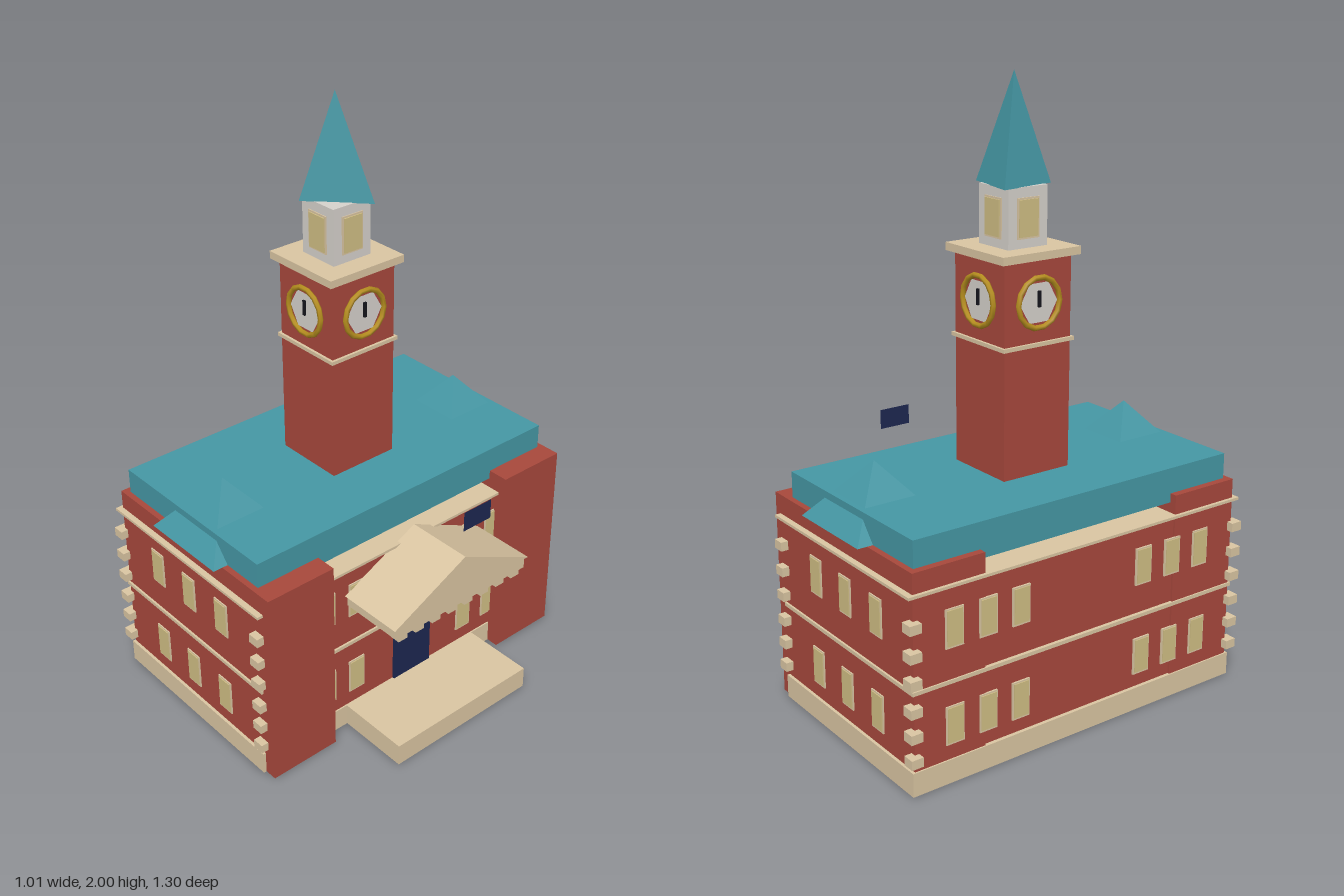
import * as THREE from 'three';
import { ConvexGeometry } from 'three/addons/geometries/ConvexGeometry.js';

function mat(name, color) {
  const m = new THREE.MeshStandardMaterial({ color, flatShading: false });
  m.name = name;
  return m;
}

export function createModel() {
  const root = new THREE.Group();
  root.name = 'clockTowerHall';
  const brick = mat('brick red', 0xa8483c);
  const teal = mat('roof teal', 0x4597a4);
  const stone = mat('stone beige', 0xdac5a2);
  const pane = mat('window cream', 0xd0be84);
  const white = mat('lantern white', 0xd6d2cc);
  const navy = mat('navy', 0x1d2750);
  const gold = mat('gold', 0xb8901f);
  const black = mat('clock hand black', 0x15151c);
  navy.side = THREE.DoubleSide;

  const add = (name, geo, m, parent = root) => {
    const mesh = new THREE.Mesh(geo, m);
    mesh.name = name;
    parent.add(mesh);
    return mesh;
  };
  // Box given by its extents
  const box = (name, m, x0, x1, y0, y1, z0, z1, parent) => {
    const mesh = add(name, new THREE.BoxGeometry(x1 - x0, y1 - y0, z1 - z0), m, parent);
    mesh.position.set((x0 + x1) / 2, (y0 + y1) / 2, (z0 + z1) / 2);
    return mesh;
  };
  const hull = (name, m, pts) =>
    add(name, new ConvexGeometry(pts.map(p => new THREE.Vector3(...p))).toNonIndexed(), m);

  // Main block, plinth and horizontal bands
  box('mainBlock', brick, -0.475, 0.245, 0.01, 0.63, -0.612, 0.612);
  box('plinth', stone, -0.487, 0.25, 0.003, 0.08, -0.63, 0.63);
  box('beltCourse', stone, -0.487, 0.252, 0.325, 0.337, -0.627, 0.627);
  box('cornice', stone, -0.493, 0.265, 0.627, 0.636, -0.64, 0.64);
  const under = new THREE.Shape([[-0.485, -0.63], [0.25, 0.63], [-0.485, 0.63]].map(p => new THREE.Vector2(...p)));
  add('underside', new THREE.ShapeGeometry(under), brick).rotation.x = Math.PI / 2;

  // End wings and their pyramid roofs
  for (const s of [1, -1]) {
    const wing = box('endWing', brick, -0.482, 0.293, 0.004, 0.7, -0.125, 0.125);
    wing.position.z = s * 0.495;
    const pz = s * 0.492;
    const pts = [[-0.09, 0.89, pz]];
    for (const a of [-0.16, 0.16]) for (const b of [-0.16, 0.16]) pts.push([-0.09 + a, 0.7, pz + b]);
    hull('pyramidRoof', teal, pts);
  }
  box('mainRoof', teal, -0.458, 0.22, 0.67, 0.785, -0.6, 0.6);

  // Corner quoins
  for (const x of [-0.485, 0.245]) for (const z of [-0.625, 0.625])
    for (const y of [0.12, 0.2, 0.28, 0.367, 0.452, 0.54])
      box('quoin', stone, x - 0.02, x + 0.02, y - 0.015, y + 0.015, z - 0.02, z + 0.02);

  // Windows: thin frame and pane, placed on a wall facing the given angle
  const addWindow = (x, y, z, angle, w = 0.054, h = 0.112) => {
    const g = new THREE.Group();
    g.name = 'window';
    box('windowFrame', stone, -w / 2 - 0.005, w / 2 + 0.005, -h / 2 - 0.007, h / 2 + 0.005, -0.002, 0.004, g);
    box('windowPane', pane, -w / 2, w / 2, -h / 2, h / 2, 0, 0.007, g);
    g.position.set(x, y, z);
    g.rotation.y = angle;
    root.add(g);
  };
  for (const y of [0.192, 0.5]) {
    for (const x of [-0.29, -0.12, 0.05]) {
      addWindow(x, y, 0.62, 0);
      addWindow(x, y, -0.62, Math.PI);
    }
    for (const s of [1, -1]) for (const z of [0.24, 0.36, 0.48]) {
      addWindow(-0.482, y, s * z, -Math.PI / 2);
      if (z < 0.4) addWindow(0.245, y, s * z, Math.PI / 2);
    }
  }

  // Entrance: door, steps, pediment with dentils, flag
  box('door', navy, 0.245, 0.253, 0.08, 0.305, -0.08, 0.08);
  box('entranceStep', stone, 0.25, 0.503, 0.004, 0.08, -0.285, 0.285);
  const ped = [];
  for (const x of [0.25, 0.482]) ped.push([x, 0.67, 0], [x, 0.53, 0.29], [x, 0.53, -0.29]);
  hull('pediment', stone, ped);
  box('porchSlab', stone, 0.25, 0.475, 0.49, 0.53, -0.28, 0.28);
  for (let i = 0; i < 8; i++) {
    const z = -0.245 + i * 0.07;
    box('dentil', stone, 0.435, 0.47, 0.468, 0.49, z - 0.018, z + 0.018);
  }
  const flag = add('flag', new THREE.PlaneGeometry(0.115, 0.068), navy);
  flag.position.set(0.47, 0.792, -0.057);
  flag.rotation.y = Math.PI / 2;

  // Clock tower
  const cx = -0.12;
  const centred = (name, m, r, y0, y1) => box(name, m, cx - r, cx + r, y0, y1, -r, r);
  centred('towerShaft', brick, 0.125, 0.63, 1.46);
  centred('towerBand', stone, 0.134, 1.193, 1.205);
  centred('towerCornice', stone, 0.146, 1.46, 1.485);
  centred('lantern', white, 0.073, 1.485, 1.668);
  for (let i = 0; i < 4; i++) {
    const side = new THREE.Group();
    side.name = 'towerSide';
    side.position.x = cx;
    side.rotation.y = i * Math.PI / 2;
    root.add(side);
    const ring = add('clockRing', new THREE.TorusGeometry(0.078, 0.009, 6, 14), gold, side);
    ring.position.set(0, 1.328, 0.131);
    const face = add('clockFace', new THREE.CircleGeometry(0.07, 6), white, side);
    face.position.set(0, 1.328, 0.129);
    box('clockHand', black, -0.005, 0.005, 1.315, 1.365, 0.129, 0.135, side);
    box('lanternFrame', stone, -0.041, 0.041, 1.513, 1.637, 0.07, 0.076, side);
    box('lanternPane', pane, -0.035, 0.035, 1.519, 1.631, 0.071, 0.08, side);
  }

  // Three-sided spire
  hull('spire', teal, [[-0.117, 2, 0.004], [-0.203, 1.667, -0.094], [-0.003, 1.667, -0.052], [-0.17, 1.667, 0.104]]);
  return root;
}
